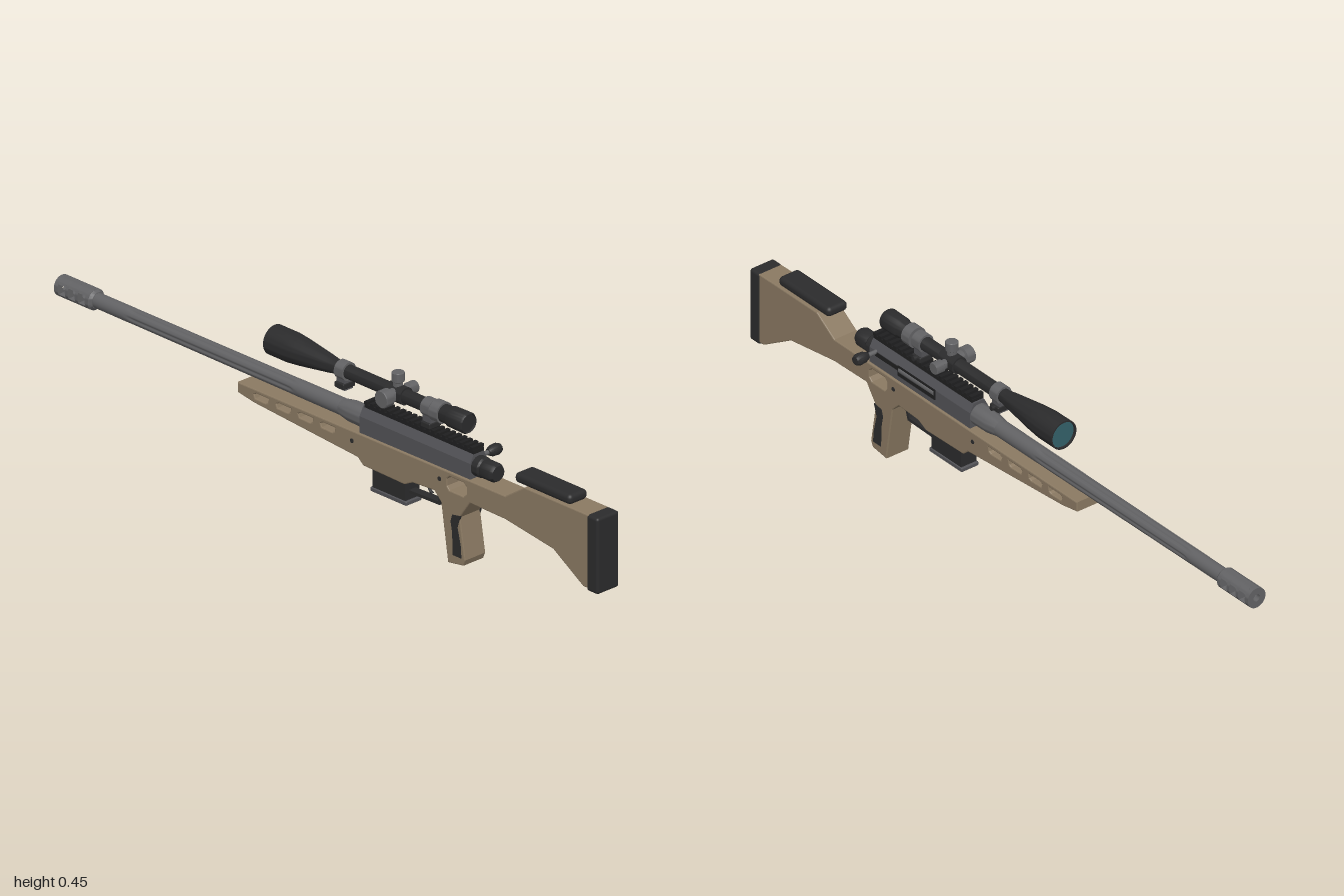
import * as THREE from 'three';
import { toCreasedNormals } from 'three/addons/utils/BufferGeometryUtils.js';
import { RoundedBoxGeometry } from 'three/addons/geometries/RoundedBoxGeometry.js';

const CX = -0.02; // centre line of the rifle
const BORE = 0.285; // barrel axis height
const SIGHT = 0.39; // scope axis height

const mat = (name, color) => Object.assign(new THREE.MeshStandardMaterial({ color }), { name });

export function createModel() {
  const model = new THREE.Group();
  model.name = 'rifle';
  const tan = mat('tan stock', 0x8a7962);
  const black = mat('black polymer', 0x2b2b2c);
  const dark = mat('dark rail', 0x1f1f20);
  const steel = mat('grey steel', 0x626264);
  const gun = mat('gunmetal', 0x525256);
  const glass = mat('teal glass', 0x34616a);

  const add = (name, geo, material, x = 0, y = 0, z = 0, parent = model) => {
    const mesh = new THREE.Mesh(geo, material);
    mesh.name = name;
    mesh.position.set(x, y, z);
    parent.add(mesh);
    return mesh;
  };
  const box = (name, m, w, h, d, x, y, z, r = 0) =>
    add(name, r ? new RoundedBoxGeometry(w, h, d, 3, r) : new THREE.BoxGeometry(w, h, d), m, x, y, z);
  // turned part: points are [radius, position along the axis]
  const lathe = (pts, axis = 'z', seg = 32) => {
    const g = toCreasedNormals(new THREE.LatheGeometry(pts.map(p => new THREE.Vector2(...p)), seg), 0.6);
    if (axis === 'z') g.rotateX(Math.PI / 2);
    if (axis === 'x') g.rotateZ(-Math.PI / 2);
    return g;
  };
  const rod = (r, a, b, axis, seg) => lathe([[0, a], [r, a], [r, b], [0, b]], axis, seg);
  const poly = (pts, Kind = THREE.Shape) => new Kind(pts.map(p => new THREE.Vector2(...p)));
  // side profile in (z, y), extruded across x and centred on the rifle
  const side = (shape, width, bevel = 0) => {
    const depth = width - 2 * bevel;
    const g = new THREE.ExtrudeGeometry(shape, {
      depth, bevelEnabled: bevel > 0, bevelSize: bevel, bevelThickness: bevel,
      bevelOffset: -bevel, bevelSegments: 2, curveSegments: 8,
    });
    return g.translate(0, 0, -depth / 2).rotateY(-Math.PI / 2);
  };
  // cross-section in (x, y), extruded from z0 to z1
  const along = (shape, z0, z1) => new THREE.ExtrudeGeometry(shape, {
    depth: z1 - z0, bevelEnabled: false, curveSegments: 16,
  }).translate(0, 0, z0);

  // Stock with grip, thumb opening and forend slots
  const stock = poly([
    [0.965, 0.302], [0.73, 0.302], [0.66, 0.255], [0.1, 0.252], [-0.32, 0.25], [-0.32, 0.222],
    [-0.26, 0.212], [0.12, 0.185], [0.14, 0.168], [0.29, 0.165], [0.32, 0.18], [0.4, 0.185],
    [0.425, 0.16], [0.45, 0], [0.505, 0.008], [0.512, 0.025], [0.493, 0.14], [0.53, 0.192],
    [0.66, 0.19], [0.835, 0.165], [0.945, 0.097], [0.965, 0.097],
  ]);
  stock.holes.push(poly([
    [0.455, 0.203], [0.508, 0.203], [0.518, 0.213], [0.518, 0.233], [0.508, 0.242],
    [0.455, 0.242], [0.446, 0.233], [0.446, 0.213],
  ], THREE.Path));
  for (let i = 0; i < 4; i++) {
    const z = 0.037 - i * 0.081;
    stock.holes.push(poly([
      [z, 0.24], [z - 0.045, 0.24], [z - 0.054, 0.235], [z - 0.05, 0.225], [z - 0.01, 0.224], [z - 0.002, 0.228],
    ], THREE.Path));
  }
  add('stock', side(stock, 0.074, 0.003), tan, CX);
  const panel = poly([[0.497, 0.145], [0.468, 0.14], [0.462, 0.12], [0.468, 0.09], [0.47, 0.028], [0.5, 0.028], [0.498, 0.06], [0.486, 0.11]]);
  for (const s of [-1, 1]) add('gripPanel', side(panel, 0.006), black, CX + s * 0.036);
  box('buttPad', black, 0.078, 0.213, 0.042, CX, 0.1965, 0.979, 0.008);
  box('cheekRest', black, 0.066, 0.028, 0.205, CX, 0.316, 0.79, 0.012);
  add('slingStud', rod(0.006, 0.198, 0.216, 'y', 12), black, CX, 0, -0.262);
  for (const s of [-1, 1]) for (const z of [0.42, 0.1])
    add('stockScrew', rod(0.006, -0.002, 0.002, 'x', 12), black, CX + s * 0.037, 0.225, z);

  // Receiver with chamfered shoulders
  const section = poly([
    [-0.03, 0.248], [0.03, 0.248], [0.03, 0.298], [0.017, 0.323], [-0.017, 0.323], [-0.03, 0.298],
  ]);
  add('receiver', along(section, 0.12, 0.525), gun, CX);
  box('ejectionPort', dark, 0.004, 0.03, 0.15, CX + 0.03, 0.284, 0.335);
  add('boltBody', rod(0.009, 0.265, 0.405, 'z', 16), steel, CX + 0.026, 0.287);
  box('boltSlot', dark, 0.004, 0.012, 0.09, CX + 0.03, 0.29, 0.455);
  add('boltShroud', lathe([[0, 0.52], [0.028, 0.52], [0.028, 0.545], [0.024, 0.55], [0.026, 0.556],
    [0.026, 0.588], [0.021, 0.597], [0, 0.597]]), black, CX, BORE);
  add('boltHandle', rod(0.006, 0, 0.045, 'x', 16), steel, 0, 0.295, 0.5);
  add('boltKnob', lathe([[0, 0.037], [0.009, 0.037], [0.015, 0.05], [0.016, 0.068], [0.012, 0.078], [0, 0.08]], 'x', 20),
    black, 0, 0.295, 0.5);

  // Top rail with cross slots
  box('railBase', dark, 0.036, 0.01, 0.4, CX, 0.326, 0.325);
  for (let i = 0; i < 20; i++) box('railTooth', dark, 0.04, 0.009, 0.011, CX, 0.335, 0.518 - i * 0.0203);

  // Barrel, with shallow flutes pressed into the middle stretch
  add('barrelShank', lathe([[0, 0.02], [0.021, 0.02], [0.029, 0.065], [0.03, 0.125], [0, 0.125]]), steel, CX, BORE);
  const barrel = new THREE.CylinderGeometry(0.023, 0.0205, 0.93, 48, 62, true);
  const p = barrel.attributes.position;
  for (let i = 0; i < p.count; i++) {
    const y = p.getY(i);
    if (y < -0.33 || y > 0.28) continue;
    const k = 1 - 0.16 * Math.max(0, Math.cos(6 * Math.atan2(p.getZ(i), p.getX(i))));
    p.setX(i, p.getX(i) * k);
    p.setZ(i, p.getZ(i) * k);
  }
  barrel.computeVertexNormals();
  add('barrel', barrel.rotateX(Math.PI / 2), steel, CX, BORE, -0.415);

  // Muzzle brake: solid rings alternating with side windows
  const R = 0.029, cut = 0.014, a = Math.asin(cut / R);
  const ring = new THREE.Shape().absarc(0, 0, R, 0, Math.PI * 2);
  ring.holes.push(new THREE.Path().absarc(0, 0, 0.01, 0, Math.PI * 2, true));
  const caps = [0, Math.PI].map(t => new THREE.Shape().absarc(0, 0, R, t + a, t + Math.PI - a));
  const bands = [-1, -0.987, -0.96, -0.95, -0.924, -0.914, -0.888, -0.876];
  for (let i = 0; i < 7; i++) {
    const shapes = i % 2 ? caps : [ring];
    for (const s of shapes) {
      const g = toCreasedNormals(along(s, bands[i], bands[i + 1]), 0.6);
      add(i % 2 ? 'brakeBridge' : 'brakeRing', g, steel, CX, BORE);
    }
  }
  add('brakeCollar', lathe([[0, -0.877], [0.029, -0.877], [0.022, -0.868], [0, -0.868]]), steel, CX, BORE);

  // Magazine, trigger and guard
  box('magazine', black, 0.05, 0.07, 0.12, CX, 0.138, 0.222);
  box('magazineBase', gun, 0.056, 0.012, 0.132, CX, 0.106, 0.222, 0.003);
  add('triggerGuard', side(poly([
    [0.41, 0.185], [0.4, 0.185], [0.388, 0.143], [0.28, 0.139], [0.28, 0.131], [0.394, 0.134],
  ]), 0.024), black, CX);
  const trigger = new THREE.CatmullRomCurve3([[0.345, 0.19], [0.342, 0.17], [0.347, 0.157], [0.358, 0.15]]
    .map(([z, y]) => new THREE.Vector3(0, y, z)));
  add('trigger', new THREE.TubeGeometry(trigger, 12, 0.004, 8), black, CX);

  // Scope body: objective bell, tube and eyepiece
  add('scopeBody', lathe([
    [0, -0.214], [0.037, -0.214], [0.037, -0.222], [0.041, -0.222], [0.041, -0.155], [0.037, -0.115], [0.024, -0.02],
    [0.019, 0.01], [0.019, 0.39], [0.024, 0.4], [0.025, 0.425], [0.028, 0.43], [0.029, 0.485], [0.026, 0.49],
    [0.025, 0.484], [0, 0.484],
  ], 'z', 40), black, CX, SIGHT);
  add('objectiveLens', new THREE.CircleGeometry(0.038, 40).rotateY(Math.PI), glass, CX, SIGHT, -0.2155);
  add('zoomRing', rod(0.029, 0.37, 0.4, 'z'), steel, CX, SIGHT);

  // Turret block with three adjustment drums
  add('turretBlock', rod(0.024, 0.2, 0.26, 'z'), black, CX, SIGHT, 0);
  const drum = (r, len) => [[0, 0], [r * 0.75, 0], [r * 0.75, 0.032], [r, 0.035], [r, len - 0.002], [r - 0.002, len], [0, len]];
  add('topTurret', lathe(drum(0.017, 0.06), 'y', 24), steel, CX, SIGHT, 0.23);
  add('leftTurret', lathe(drum(0.017, 0.061), 'x', 24), steel, CX, SIGHT, 0.23);
  add('rightTurret', lathe(drum(0.024, 0.061), 'x', 24).rotateY(Math.PI), steel, CX, SIGHT, 0.23);

  // Scope mounts
  for (const z of [0.35, 0.035]) {
    const w = 0.03;
    // the forward mount reaches back to the end of the rail
    const base = z < 0.1 ? 0.345 : 0.338;
    add('mountRing', rod(0.025, z - w / 2, z + w / 2, 'z'), steel, CX, SIGHT);
    box('mountPost', gun, 0.03, 0.04, w, CX, 0.36, z);
    box('mountClamp', black, 0.042, 0.016, w + 0.004, CX, base + 0.007, z, 0.003);
    add('clampKnob', rod(0.007, 0, 0.012, 'x', 12), black, CX + 0.018, base + 0.01, z);
  }
  return model;
}
